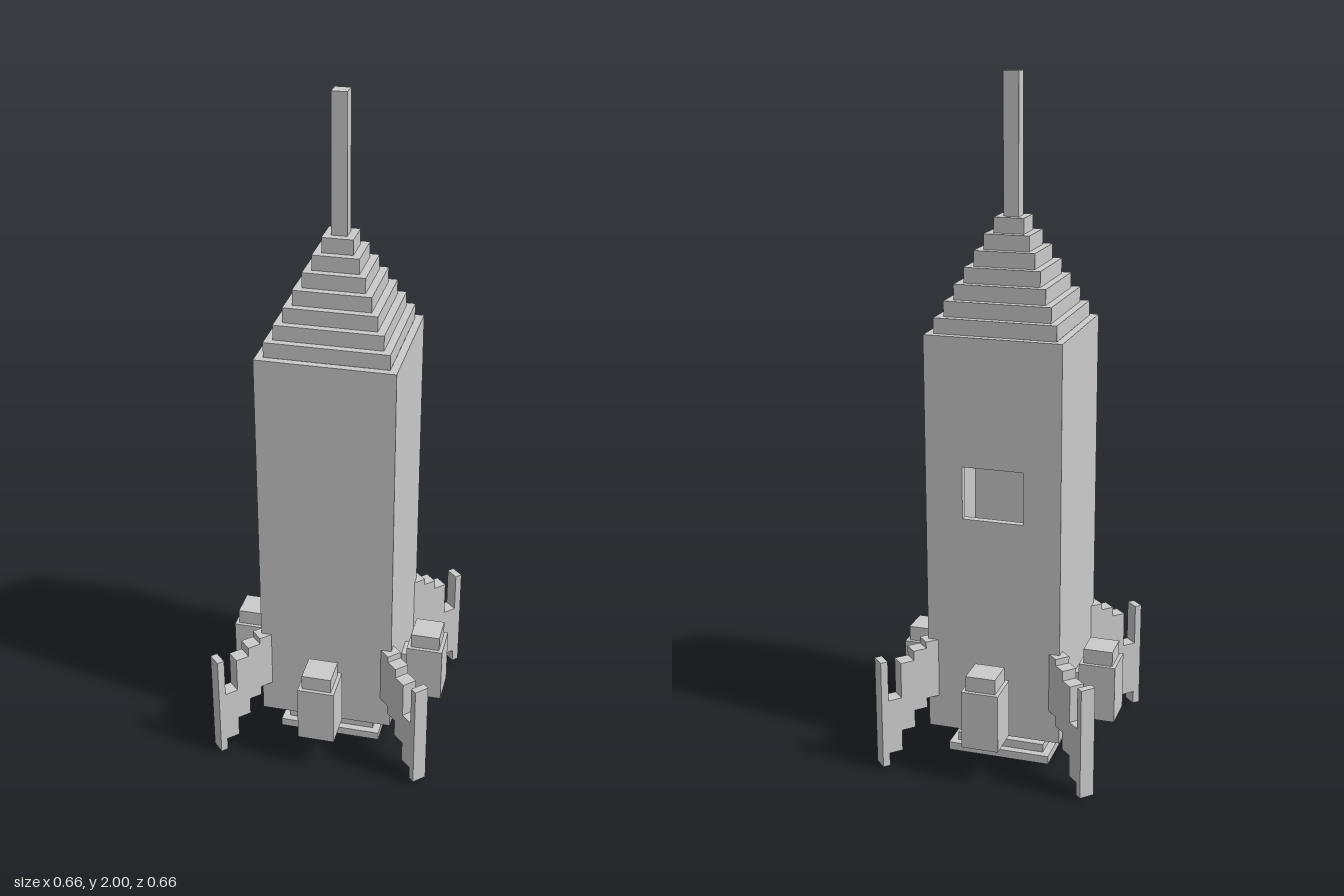
import * as THREE from 'three';

const mat = new THREE.MeshStandardMaterial({ color: 0xcccccc, flatShading: true });

// Box spanning y0..y1, centred on (x, z)
function box(parent, name, w, y0, y1, d, x = 0, z = 0) {
  const mesh = new THREE.Mesh(new THREE.BoxGeometry(w, y1 - y0, d), mat);
  mesh.position.set(x, (y0 + y1) / 2, z);
  mesh.name = name;
  parent.add(mesh);
  return mesh;
}

function group(parent, name) {
  const g = new THREE.Group();
  g.name = name;
  parent.add(g);
  return g;
}

const U = 0.0222; // wall thickness and step size
const H = 0.2; // half width of the hull
const BOTTOM = 0.1;
const TOP = 1.295;

function addHull(parent) {
  const hull = group(parent, 'hull');
  const inner = 2 * (H - U);
  const off = H - U / 2;
  box(hull, 'frontWall', inner, BOTTOM, TOP, U, 0, off);
  box(hull, 'leftWall', U, BOTTOM, TOP, 2 * H, off, 0);
  box(hull, 'rightWall', U, BOTTOM, TOP, 2 * H, -off, 0);
  box(hull, 'floor', inner, BOTTOM, BOTTOM + U, inner - 0.001);

  // Back wall with the window opening
  const shape = new THREE.Shape();
  const hw = H - U;
  shape.moveTo(-hw, BOTTOM).lineTo(hw, BOTTOM).lineTo(hw, TOP).lineTo(-hw, TOP).closePath();
  const hole = new THREE.Path();
  hole.moveTo(-0.09, 0.765).lineTo(-0.09, 0.92).lineTo(0.09, 0.92).lineTo(0.09, 0.765).closePath();
  shape.holes.push(hole);
  const geo = new THREE.ExtrudeGeometry(shape, { depth: U, bevelEnabled: false });
  const wall = new THREE.Mesh(geo, mat);
  wall.position.z = -H;
  wall.name = 'backWallWithWindow';
  hull.add(wall);
}

// Stepped pyramid and spire
function addRoof(parent) {
  const nose = group(parent, 'nose');
  const step = 0.0443;
  for (let i = 0; i < 7; i++) {
    const w = 2 * U * (8 - i);
    box(nose, 'noseStep', w, TOP + i * step, TOP + (i + 1) * step, w);
  }
  box(nose, 'spire', 2 * U, TOP + 7 * step, 2, 2 * U);
}

// Flared exhaust tiers under the hull
function addNozzle(parent) {
  const nozzle = group(parent, 'nozzle');
  for (const [half, y0, y1] of [[0.111, 0.05, BOTTOM], [0.133, 0.025, 0.05], [0.155, 0, 0.025]]) {
    box(nozzle, 'nozzleTier', 2 * half, y0, y1, 2 * half);
  }
}

// Side booster facing +z
function addBooster(parent, angle) {
  const booster = group(parent, 'booster');
  box(booster, 'boosterBody', 0.11, 0.115, 0.29, 0.11, 0, 0.275);
  box(booster, 'boosterCap', 0.088, 0.29, 0.335, 0.088, 0, 0.275);
  box(booster, 'boosterBracket', 0.066, 0.155, 0.25, 0.022, 0, 0.21);
  booster.rotation.y = angle;
}

// Diagonal landing fin: one stepped outline, extruded
function addFin(parent, angle) {
  const outline = [
    [0.25, 0.2], [0.3, 0.2], [0.3, 0.17], [0.34, 0.17], [0.34, 0.115], [0.382, 0.115],
    [0.382, 0.05], [0.423, 0.05], [0.423, 0.01], [0.445, 0.01], [0.445, 0.345],
    [0.423, 0.345], [0.423, 0.22], [0.382, 0.22], [0.382, 0.33], [0.34, 0.33],
    [0.34, 0.36], [0.3, 0.36], [0.3, 0.38], [0.25, 0.38],
  ];
  const shape = new THREE.Shape(outline.map(([r, y]) => new THREE.Vector2(r, y)));
  const geo = new THREE.ExtrudeGeometry(shape, { depth: 2 * U, bevelEnabled: false });
  geo.translate(0, 0, -U);
  const fin = new THREE.Mesh(geo, mat);
  fin.rotation.y = angle;
  fin.name = 'landingFin';
  parent.add(fin);
}

export function createModel() {
  const rocket = new THREE.Group();
  rocket.name = 'blockRocket';
  addHull(rocket);
  addRoof(rocket);
  addNozzle(rocket);
  for (let i = 0; i < 4; i++) {
    const quarter = (i * Math.PI) / 2;
    addBooster(rocket, quarter);
    addFin(rocket, quarter + Math.PI / 4);
  }
  return rocket;
}
